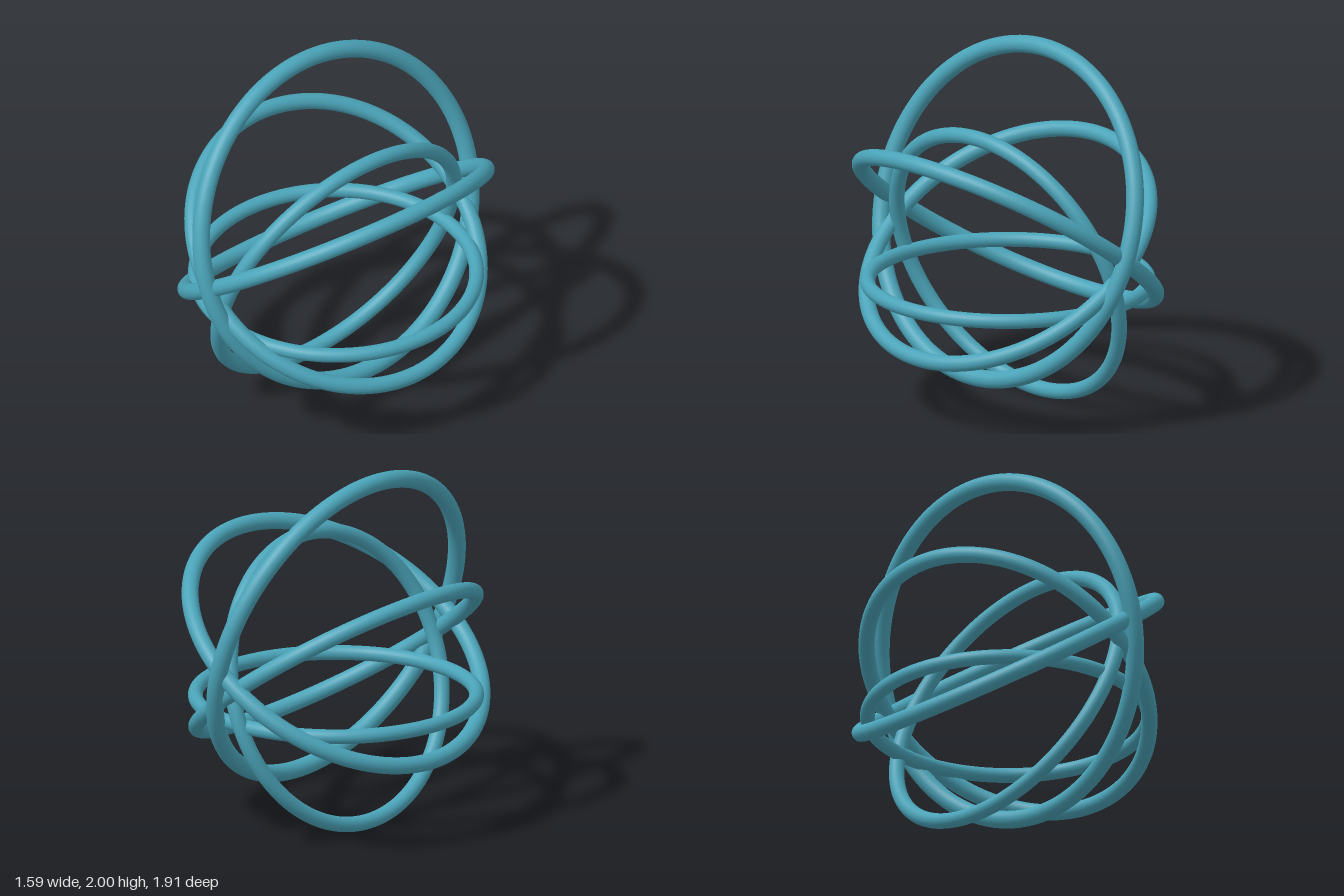
import * as THREE from 'three';

export function createModel() {
  const model = new THREE.Group();
  model.name = 'nestedRings';

  const teal = new THREE.MeshStandardMaterial({ color: 0x4aa3b8 });
  teal.name = 'teal';

  // Five rings: each is larger, higher and turned a fifth of a circle further
  for (let i = 0; i < 5; i++) {
    const scale = 1 + 0.05 * i;
    const geometry = new THREE.TorusGeometry(0.757 * scale, 0.04 * scale, 24, 128);
    geometry.rotateX(Math.PI / 2); // lay the ring flat
    const ring = new THREE.Mesh(geometry, teal);
    ring.name = `ring${i + 1}`;
    ring.position.y = 0.702 + 0.0967 * i;
    ring.rotation.z = (i * 2 * Math.PI) / 5;
    model.add(ring);
  }
  return model;
}
